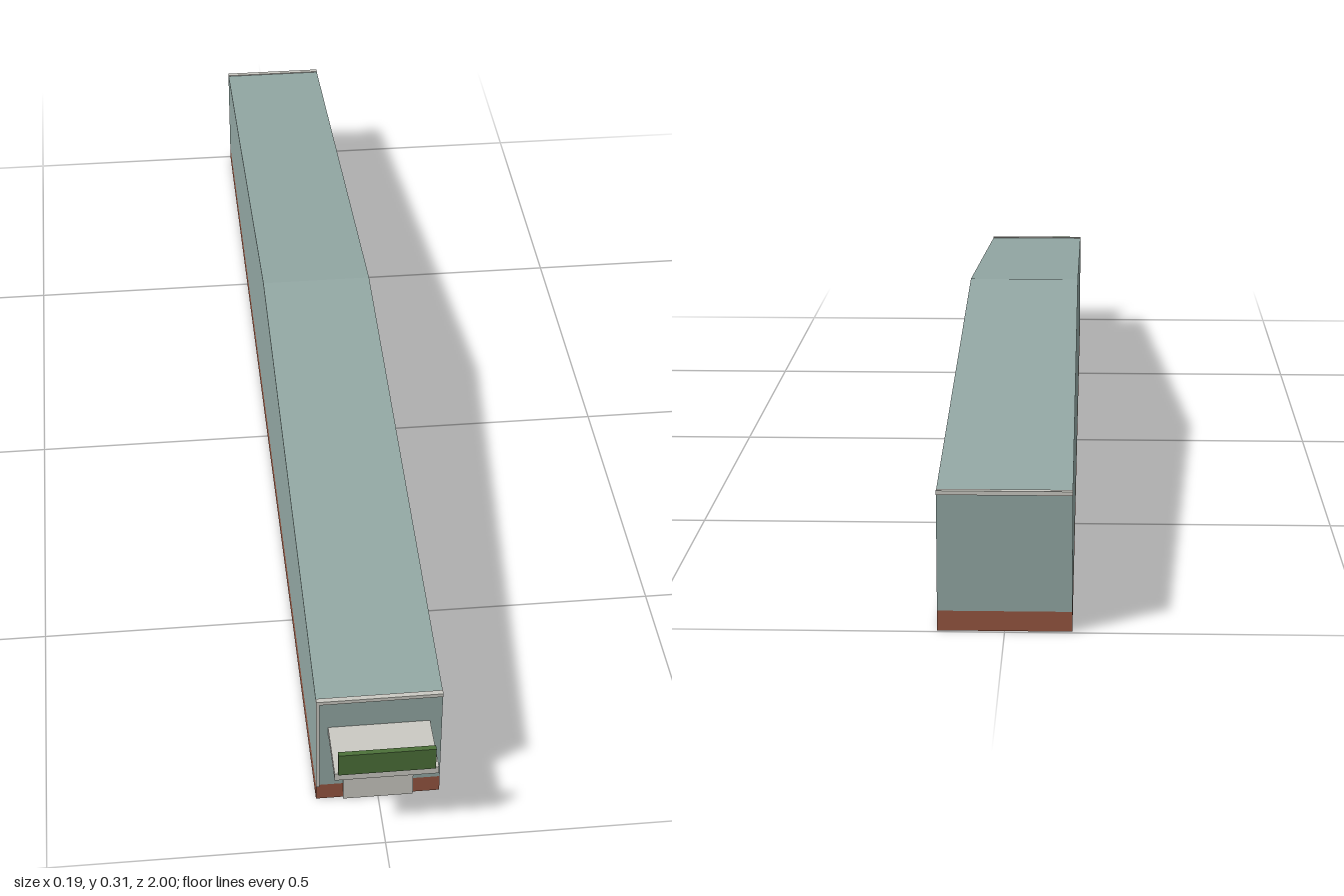
import * as THREE from 'three';

export function createModel() {
  const model = new THREE.Group();
  model.name = 'longHall';
  const paint = (name, color) => {
    const m = new THREE.MeshStandardMaterial({ color });
    m.name = name;
    return m;
  };
  const cladding = paint('greyGreenCladding', 0x93a8a4);
  const brick = paint('brick', 0x955640);
  const trim = paint('lightTrim', 0xcbcac3);
  const green = paint('signGreen', 0x4c7039);

  const halfW = 0.094, back = -0.995, front = 0.902, mid = (back + front) / 2;
  const baseH = 0.029, eave = 0.202, ridge = 0.305;

  // Box given by its minimum and maximum corners
  const box = (name, material, [x0, y0, z0], [x1, y1, z1]) => {
    const mesh = new THREE.Mesh(new THREE.BoxGeometry(x1 - x0, y1 - y0, z1 - z0), material);
    mesh.position.set((x0 + x1) / 2, (y0 + y1) / 2, (z0 + z1) / 2);
    mesh.name = name;
    model.add(mesh);
  };

  // Clad hall: side profile with a central ridge, extruded across the width
  const profile = new THREE.Shape([
    [-front, baseH], [-back, baseH], [-back, eave], [-mid, ridge], [-front, eave],
  ].map(([a, y]) => new THREE.Vector2(a, y)));
  const hallGeometry = new THREE.ExtrudeGeometry(profile, { depth: 2 * halfW, bevelEnabled: false });
  hallGeometry.translate(0, 0, -halfW).rotateY(Math.PI / 2);
  const hall = new THREE.Mesh(hallGeometry, cladding);
  hall.name = 'hallAndRoof';
  model.add(hall);

  // Brick base course
  box('brickBase', brick, [-halfW, 0, back], [halfW, baseH, front]);

  // Eave strips at both ends and the downpipe beside the entrance
  box('frontEaveTrim', trim, [-halfW, 0.198, front - 0.004], [halfW, 0.204, front + 0.004]);
  box('backEaveTrim', trim, [-halfW, 0.198, back - 0.005], [halfW, 0.204, back + 0.004]);
  box('downpipe', trim, [-halfW, baseH, front], [-0.089, 0.198, front + 0.004]);

  // Entrance door, canopy and sign board
  box('entranceDoor', trim, [-0.053, 0, front], [0.053, 0.12, front + 0.004]);
  box('canopy', trim, [-0.076, 0.135, front], [0.076, 0.148, 0.997]);
  box('signBoard', green, [-0.071, 0.148, 0.992], [0.071, 0.187, 1]);

  return model;
}
